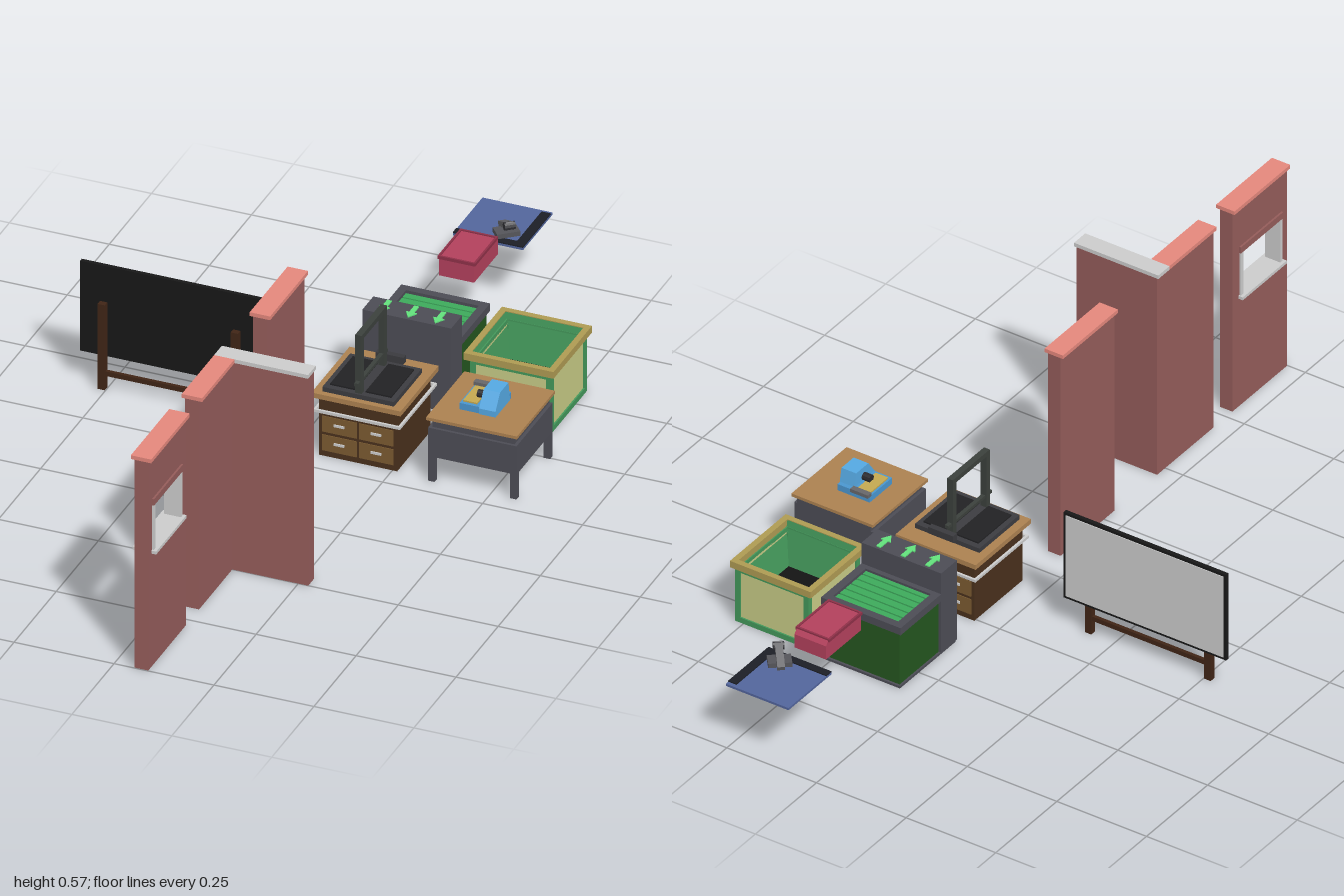
import * as THREE from 'three';

const materials = {};
function mat(color) {
  return (materials[color] ??= new THREE.MeshStandardMaterial({ color, flatShading: true, side: THREE.DoubleSide }));
}

function add(parent, name, geometry, color, x = 0, y = 0, z = 0) {
  const mesh = new THREE.Mesh(geometry, mat(color));
  mesh.name = name;
  mesh.position.set(x, y, z);
  parent.add(mesh);
  return mesh;
}

// Box given by its limits on each axis
function box(parent, name, color, x0, x1, y0, y1, z0, z1) {
  const geometry = new THREE.BoxGeometry(x1 - x0, y1 - y0, z1 - z0);
  return add(parent, name, geometry, color, (x0 + x1) / 2, (y0 + y1) / 2, (z0 + z1) / 2);
}

// Rectangular ring of four bars, lying flat
function ring(parent, name, color, x0, x1, y0, y1, z0, z1, t) {
  box(parent, name, color, x0, x1, y0, y1, z0, z0 + t);
  box(parent, name, color, x0, x1, y0, y1, z1 - t, z1);
  box(parent, name, color, x0, x0 + t, y0, y1, z0 + t, z1 - t);
  box(parent, name, color, x1 - t, x1, y0, y1, z0 + t, z1 - t);
}

// Side profile in (z, y), extruded along x
function profile(parent, name, color, points, x0, x1) {
  const shape = new THREE.Shape(points.map(([z, y]) => new THREE.Vector2(-z, y)));
  const geometry = new THREE.ExtrudeGeometry(shape, { depth: x1 - x0, bevelEnabled: false });
  geometry.rotateY(Math.PI / 2);
  return add(parent, name, geometry, color, x0, 0, 0);
}

function group(root, name) {
  const g = new THREE.Group();
  g.name = name;
  root.add(g);
  return g;
}

const BRICK = 0x945c5a, CAP = 0xe4877c, GREY = 0xcccccc, WOOD = 0xac8150, DARK = 0x4c4c55;

function walls(root) {
  const plain = group(root, 'plainWall');
  box(plain, 'wallBody', BRICK, 0.05, 0.085, 0, 0.557, 0.072, 0.293);
  box(plain, 'wallCap', CAP, 0.042, 0.093, 0.557, 0.567, 0.07, 0.295);

  const corner = group(root, 'cornerWall');
  box(corner, 'wallBody', BRICK, 0.05, 0.085, 0, 0.557, 0.5, 0.697);
  box(corner, 'wallBody', BRICK, 0.05, 0.275, 0, 0.557, 0.467, 0.5);
  box(corner, 'wallCap', CAP, 0.042, 0.093, 0.557, 0.567, 0.506, 0.698);
  box(corner, 'wallCap', GREY, 0.042, 0.277, 0.557, 0.567, 0.46, 0.506);

  // Wall with a window opening, its frame and sill
  const win = group(root, 'windowWall');
  const outer = new THREE.Shape([[-0.998, 0], [-0.775, 0], [-0.775, 0.557], [-0.998, 0.557]].map(p => new THREE.Vector2(...p)));
  outer.holes.push(new THREE.Path([[-0.972, 0.31], [-0.972, 0.43], [-0.807, 0.43], [-0.807, 0.31]].map(p => new THREE.Vector2(...p))));
  const body = new THREE.ExtrudeGeometry(outer, { depth: 0.035, bevelEnabled: false });
  add(win, 'wallBody', body.rotateY(Math.PI / 2), BRICK, 0.05);
  box(win, 'wallCap', CAP, 0.042, 0.093, 0.557, 0.567, 0.772, 1);
  box(win, 'windowSill', GREY, 0.038, 0.097, 0.303, 0.311, 0.8, 0.98);
  for (const [z0, z1] of [[0.965, 0.975], [0.804, 0.814]])
    box(win, 'windowJamb', GREY, 0.046, 0.089, 0.311, 0.445, z0, z1);
  box(win, 'windowHead', BRICK, 0.045, 0.09, 0.43, 0.447, 0.803, 0.976);
}

function board(root) {
  const g = group(root, 'standingBoard');
  box(g, 'boardBack', 0x181818, -0.57, -0.117, 0.083, 0.323, -0.16, -0.15);
  box(g, 'boardPanel', GREY, -0.563, -0.124, 0.09, 0.316, -0.162, -0.159);
  for (const x of [-0.511, -0.178]) box(g, 'boardLeg', 0x402516, x - 0.009, x + 0.009, 0, 0.227, -0.15, -0.135);
  box(g, 'boardCrossbar', 0x402516, -0.502, -0.187, 0.037, 0.049, -0.147, -0.138);
}

function drawerCounter(root) {
  const g = group(root, 'drawerCounter');
  box(g, 'counterBody', 0x49301c, 0.067, 0.262, 0, 0.155, -0.256, -0.058);
  box(g, 'counterTop', WOOD, 0.053, 0.276, 0.157, 0.17, -0.271, -0.045);
  ring(g, 'counterRail', GREY, 0.056, 0.273, 0.118, 0.125, -0.268, -0.048, 0.006);
  for (const x of [0.075, 0.167]) for (const y of [0.015, 0.065])
    for (const z of [-0.258, -0.06]) {
      box(g, 'drawerFront', 0x7a5a30, x, x + 0.086, y, y + 0.042, z, z + 0.004);
      box(g, 'drawerHandle', GREY, x + 0.03, x + 0.056, y + 0.02, y + 0.026, z - 0.003, z + 0.007);
    }
  // Machine with a tall arch
  const m = group(root, 'archMachine');
  box(m, 'machineBase', 0x3c3c40, 0.074, 0.253, 0.17, 0.182, -0.225, -0.06);
  for (const x of [0.087, 0.176]) box(m, 'machinePlate', 0x222224, x, x + 0.064, 0.182, 0.186, -0.21, -0.075);
  for (const z of [-0.072, -0.209]) box(m, 'archPost', 0x3b403c, 0.154, 0.17, 0.17, 0.337, z - 0.007, z + 0.007);
  box(m, 'archBeam', 0x3b403c, 0.154, 0.17, 0.324, 0.337, -0.216, -0.065);
  box(m, 'archCrossbar', 0x3b403c, 0.157, 0.167, 0.207, 0.215, -0.23, -0.052);
  box(m, 'machineHead', 0x3a3a3e, 0.137, 0.207, 0.182, 0.2, -0.24, -0.225);
}

function desk(root) {
  const g = group(root, 'desk');
  box(g, 'deskTop', WOOD, 0.34, 0.567, 0.162, 0.17, -0.271, -0.045);
  box(g, 'deskNeck', DARK, 0.352, 0.557, 0.142, 0.162, -0.262, -0.054);
  box(g, 'deskApron', DARK, 0.344, 0.565, 0.066, 0.142, -0.262, -0.047);
  for (const x of [0.344, 0.549]) for (const z of [-0.262, -0.063])
    box(g, 'deskLeg', DARK, x, x + 0.016, 0, 0.066, z, z + 0.016);

  // Small bench machine with sloped housing
  const m = group(root, 'benchMachine');
  box(m, 'machineFoot', 0x4a96cf, 0.397, 0.487, 0.17, 0.187, -0.2, -0.108);
  box(m, 'machineTray', 0xc4a850, 0.402, 0.437, 0.187, 0.191, -0.19, -0.117);
  profile(m, 'machineHousing', 0x55a8e2, [[-0.105, 0.17], [-0.105, 0.185], [-0.132, 0.222], [-0.182, 0.222], [-0.192, 0.17]], 0.447, 0.488);
  box(m, 'trayStop', 0x66666a, 0.395, 0.445, 0.187, 0.196, -0.21, -0.195);
  const knob = add(m, 'machineKnob', new THREE.CylinderGeometry(0.01, 0.01, 0.022, 10), 0x2a2a2e, 0.437, 0.197, -0.15);
  knob.rotation.z = Math.PI / 2;
}

function crate(root) {
  const g = group(root, 'panelCrate');
  const [x0, x1, z0, z1] = [0.318, 0.523, -0.566, -0.356];
  const cx = (x0 + x1) / 2, cz = (z0 + z1) / 2;
  const GREEN = 0x43975a, CREAM = 0xc6ca85;
  box(g, 'crateBase', GREEN, x0, x1, 0, 0.014, z0, z1);
  ring(g, 'cratePanel', CREAM, x0 + 0.004, x1 - 0.004, 0.014, 0.142, z0 + 0.004, z1 - 0.004, 0.006);
  ring(g, 'crateUpperRail', GREEN, x0, x1, 0.14, 0.152, z0, z1, 0.01);
  for (const x of [x0, x1 - 0.014]) for (const z of [z0, z1 - 0.014])
    box(g, 'cratePost', GREEN, x, x + 0.014, 0.014, 0.14, z, z + 0.014);
  ring(g, 'crateRim', 0xae9a52, 0.306, 0.531, 0.152, 0.17, -0.575, -0.347, 0.015);
  // Sloped lining and floor
  const lining = new THREE.CylinderGeometry(0.099 * Math.SQRT2, 0.077 * Math.SQRT2, 0.11, 4, 1, true).rotateY(Math.PI / 4);
  add(g, 'crateLining', lining, GREEN, cx, 0.113, cz);
  box(g, 'crateFloor', 0x141414, cx - 0.078, cx + 0.078, 0.052, 0.058, cz - 0.078, cz + 0.078);
}

function slattedBin(root) {
  const g = group(root, 'slattedBin');
  box(g, 'binBody', 0x24551f, 0.06, 0.268, 0.006, 0.15, -0.572, -0.41);
  box(g, 'binBase', DARK, 0.055, 0.273, 0, 0.006, -0.578, -0.35);
  ring(g, 'binRim', DARK, 0.053, 0.275, 0.15, 0.17, -0.578, -0.405, 0.02);
  for (let i = 0; i < 6; i++) {
    const z = -0.555 + i * 0.0235;
    box(g, 'binSlat', 0x3da95b, 0.074, 0.254, 0.15, 0.164, z, z + 0.019);
  }
  box(g, 'binConsole', DARK, 0.053, 0.275, 0.006, 0.228, -0.412, -0.347);
  // Arrow markers on top of the console
  const arrow = new THREE.Shape([[-0.006, 0.026], [0.006, 0.026], [0.006, -0.004], [0.014, -0.004],
    [0, -0.027], [-0.014, -0.004], [-0.006, -0.004]].map(p => new THREE.Vector2(...p)));
  for (const x of [0.096, 0.164, 0.232]) {
    const geometry = new THREE.ExtrudeGeometry(arrow, { depth: 0.003, bevelEnabled: false }).rotateX(-Math.PI / 2);
    add(g, 'arrowMarker', geometry, 0x62e07c, x, 0.228, -0.38);
  }
}

function looseItems(root) {
  const tub = group(root, 'pinkBox');
  profile(tub, 'boxBody', 0xb2405c, [[-0.642, 0.175], [-0.642, 0.224], [-0.775, 0.224], [-0.785, 0.212], [-0.785, 0.175]], 0.12, 0.208);
  ring(tub, 'boxEdge', 0x8e3048, 0.117, 0.211, 0.219, 0.227, -0.776, -0.641, 0.005);

  const mat_ = group(root, 'workMat');
  box(mat_, 'matSheet', 0x52659c, 0.078, 0.253, 0.173, 0.179, -1, -0.825);
  box(mat_, 'matFrontStrip', 0x1c1e26, 0.078, 0.253, 0.179, 0.182, -0.845, -0.825);
  box(mat_, 'matSideStrip', 0x1c1e26, 0.23, 0.253, 0.179, 0.182, -0.99, -0.845);
  // Angled tool standing on the mat
  const tool = group(mat_, 'angledTool');
  tool.position.set(0.195, 0.182, -0.865);
  tool.rotation.y = 0.7;
  box(tool, 'toolFoot', 0x55555a, -0.028, 0.028, 0, 0.012, -0.018, 0.018);
  const arm = add(tool, 'toolArm', new THREE.BoxGeometry(0.018, 0.014, 0.07), 0x66666a, 0, 0.024, -0.004);
  arm.rotation.x = -0.45;
  const head = add(tool, 'toolHead', new THREE.CylinderGeometry(0.01, 0.01, 0.026, 10), 0x333338, 0, 0.034, 0.022);
  head.rotation.z = Math.PI / 2;
}

export function createModel() {
  const root = new THREE.Group();
  root.name = 'workshopSet';
  for (const build of [walls, board, drawerCounter, desk, crate, slattedBin, looseItems]) build(root);
  return root;
}
